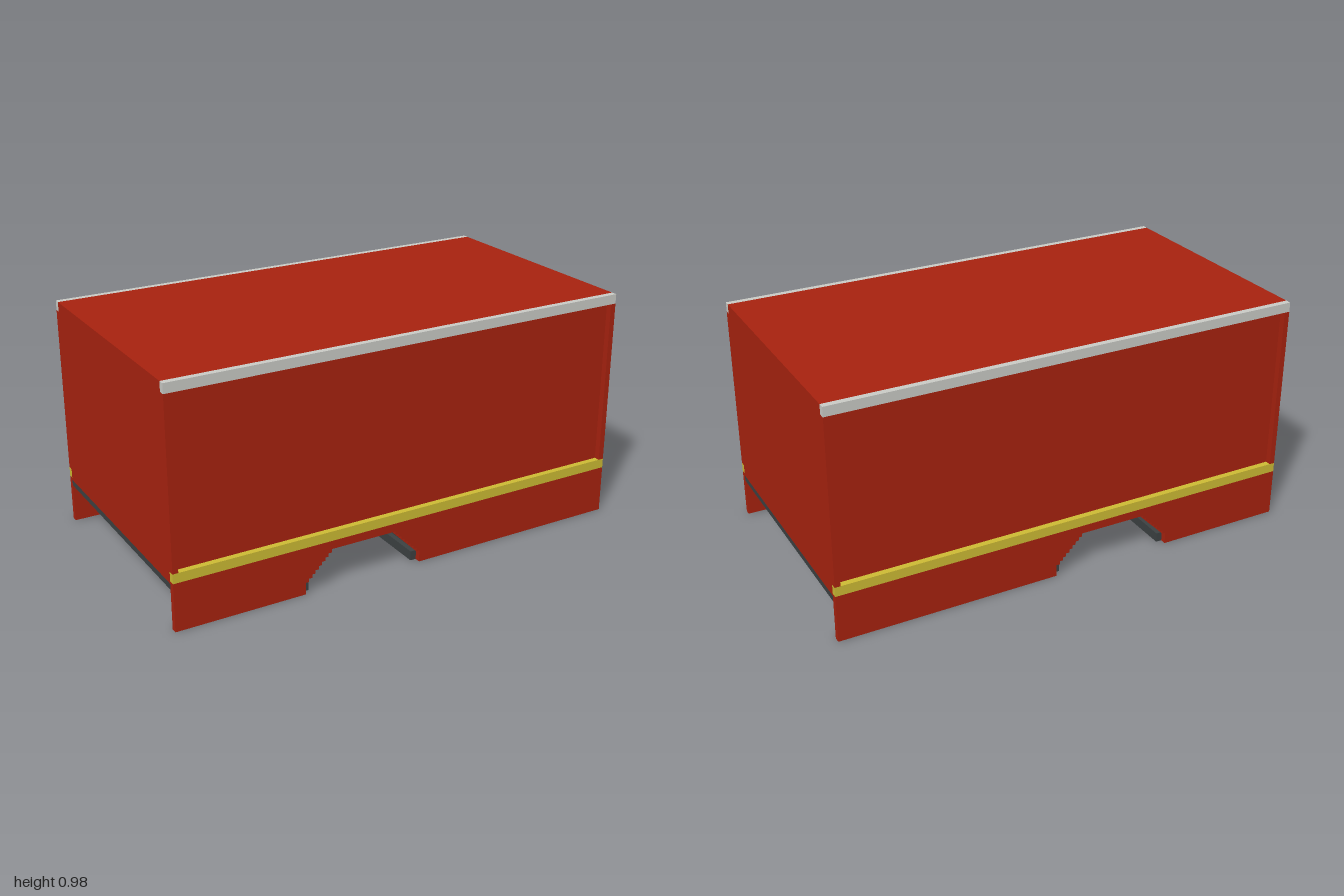
import * as THREE from 'three';

const mat = (name, color) => {
  const m = new THREE.MeshStandardMaterial({ color });
  m.name = name;
  return m;
};

export function createModel() {
  const red = mat('red paint', 0xa8220f);
  const yellow = mat('yellow stripe', 0xcdbb34);
  const grey = mat('light grey trim', 0xcacbc6);
  const dark = mat('dark underside', 0x3c4142);

  const model = new THREE.Group();
  model.name = 'cargoBody';

  const HALF = 0.535, INNER = 0.51;   // outer and inner half widths
  const FLOOR = 0.165;                // underside of the floor
  const ARCH = -0.195;                // centre of the wheel arch in x

  // Box given by its limits
  const box = (parent, name, material, x0, x1, y0, y1, z0, z1) => {
    const mesh = new THREE.Mesh(new THREE.BoxGeometry(x1 - x0, y1 - y0, z1 - z0), material);
    mesh.position.set((x0 + x1) / 2, (y0 + y1) / 2, (z0 + z1) / 2);
    mesh.name = name;
    parent.add(mesh);
  };

  // Closed outline in x and y, extruded from z0 to z1
  const plate = (parent, name, material, points, z0, z1) => {
    const shape = new THREE.Shape(points.map(([x, y]) => new THREE.Vector2(x, y)));
    const geometry = new THREE.ExtrudeGeometry(shape, { depth: z1 - z0, bevelEnabled: false });
    const mesh = new THREE.Mesh(geometry, material);
    mesh.position.z = z0;
    mesh.name = name;
    parent.add(mesh);
  };

  // Stepped flank of the wheel arch, rising towards its centre
  const STEPS = 9;
  const flank = [];
  for (let i = 0; i < STEPS; i++) {
    const half = 0.26 - (0.115 * i) / (STEPS - 1);
    const low = i === 0 ? 0 : 0.05 + (0.115 * (i - 1)) / (STEPS - 1);
    const high = 0.05 + (0.115 * i) / (STEPS - 1);
    flank.push([half, low], [half, high]);
  }
  const rightFlank = flank.map(([h, y]) => [ARCH + h, y]);
  const leftFlank = flank.map(([h, y]) => [ARCH - h, y]).reverse();

  // Main box and floor
  box(model, 'cargoBox', red, -1, 1, 0.19, 0.975, -INNER, INNER);
  box(model, 'floor', dark, -1, 1, FLOOR, 0.19, -INNER, INNER);

  for (const side of [1, -1]) {
    const group = new THREE.Group();
    group.name = side > 0 ? 'frontSide' : 'backSide';

    // Skirt with the stepped arch opening
    plate(group, 'skirt', red,
      [[1, 0], [1, 0.2], [-1, 0.2], [-1, 0], ...leftFlank.slice().reverse(), ...rightFlank.slice().reverse()],
      INNER, HALF);

    // Trim strips and corner posts framing the recessed panel
    box(group, 'sideStripe', yellow, -1, 1, 0.2, 0.24, INNER, HALF);
    box(group, 'roofRail', grey, -1, 1, 0.935, 0.975, INNER, HALF);
    for (const x of [-1, 0.977]) box(group, 'cornerPost', red, x, x + 0.023, 0.24, 0.935, INNER, HALF);

    // Wheel housing: stepped liners, lower lips and inner panel
    for (const dir of [1, -1]) {
      const steps = flank.map(([h, y]) => [ARCH + dir * h, y]);
      plate(group, 'archLiner', dark,
        [[ARCH + dir * 0.29, 0], ...steps, [ARCH + dir * 0.29, FLOOR]], 0.215, INNER);
      const a = ARCH + dir * 0.235, b = ARCH + dir * 0.26;
      box(group, 'archLip', dark, Math.min(a, b), Math.max(a, b), 0, 0.04, 0.215, INNER);
    }
    plate(group, 'archInnerPanel', dark, [
      [ARCH - 0.29, 0.04], [ARCH - 0.235, 0.04], [ARCH - 0.235, 0.1], [ARCH + 0.235, 0.1],
      [ARCH + 0.235, 0.04], [ARCH + 0.29, 0.04], [ARCH + 0.29, FLOOR], [ARCH - 0.29, FLOOR],
    ], 0.19, 0.215);

    // Mirror the far side by reflecting vertices and flipping the winding
    if (side < 0) {
      for (const mesh of group.children) {
        const g = mesh.geometry.index ? mesh.geometry.toNonIndexed() : mesh.geometry;
        g.scale(1, 1, -1);
        const p = g.attributes.position, v = new THREE.Vector3(), w = new THREE.Vector3();
        for (let i = 0; i < p.count; i += 3) {
          v.fromBufferAttribute(p, i);
          w.fromBufferAttribute(p, i + 1);
          p.setXYZ(i, w.x, w.y, w.z);
          p.setXYZ(i + 1, v.x, v.y, v.z);
        }
        g.computeVertexNormals();
        mesh.geometry = g;
        mesh.position.z *= -1;
      }
    }
    model.add(group);
  }
  return model;
}
